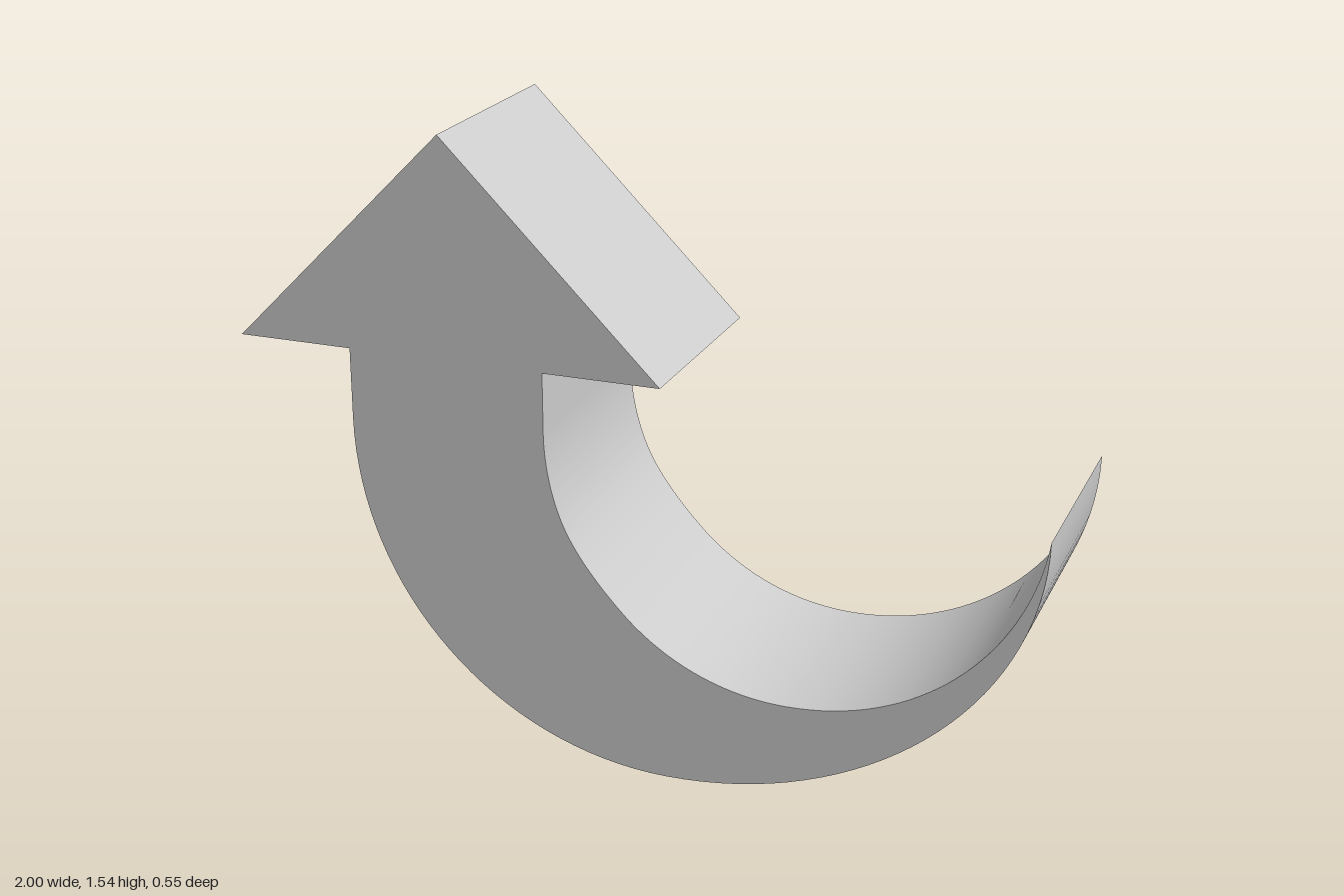
import * as THREE from 'three';
import { toCreasedNormals } from 'three/addons/utils/BufferGeometryUtils.js';

export function createModel() {
  const depth = 0.55;
  const outline = new THREE.Shape();

  // Arrowhead and left side of the shaft
  outline.moveTo(0.085, 0.995);
  outline.lineTo(-0.457, 1.537);
  outline.lineTo(-1, 0.995);
  outline.lineTo(-0.707, 0.995);
  outline.lineTo(-0.707, 0.82);

  // Outer sweep down to the base and up to the tail tip
  outline.bezierCurveTo(-0.707, 0.367, -0.346, 0, 0.1, 0);
  outline.bezierCurveTo(0.597, 0, 1, 0.34, 1, 0.758);

  // Inner sweep back from the tail tip to the shaft
  outline.bezierCurveTo(0.96, 0.47, 0.72, 0.245, 0.4, 0.245);
  outline.bezierCurveTo(0.25, 0.245, 0.11, 0.3, 0, 0.405);
  outline.bezierCurveTo(-0.06, 0.465, -0.12, 0.535, -0.155, 0.607);
  outline.bezierCurveTo(-0.19, 0.68, -0.207, 0.77, -0.207, 0.85);
  outline.lineTo(-0.207, 0.995);
  outline.closePath();

  // Solid of constant thickness with smooth curves and sharp corners
  const solid = new THREE.ExtrudeGeometry(outline, { depth, bevelEnabled: false, curveSegments: 32 });
  solid.translate(0, 0, -depth / 2);

  const arrow = new THREE.Mesh(
    toCreasedNormals(solid, 0.4),
    new THREE.MeshStandardMaterial({ color: 0xcccccc })
  );
  arrow.name = 'curvedArrow';

  const model = new THREE.Group();
  model.name = 'curvedArrowModel';
  model.add(arrow);
  return model;
}
